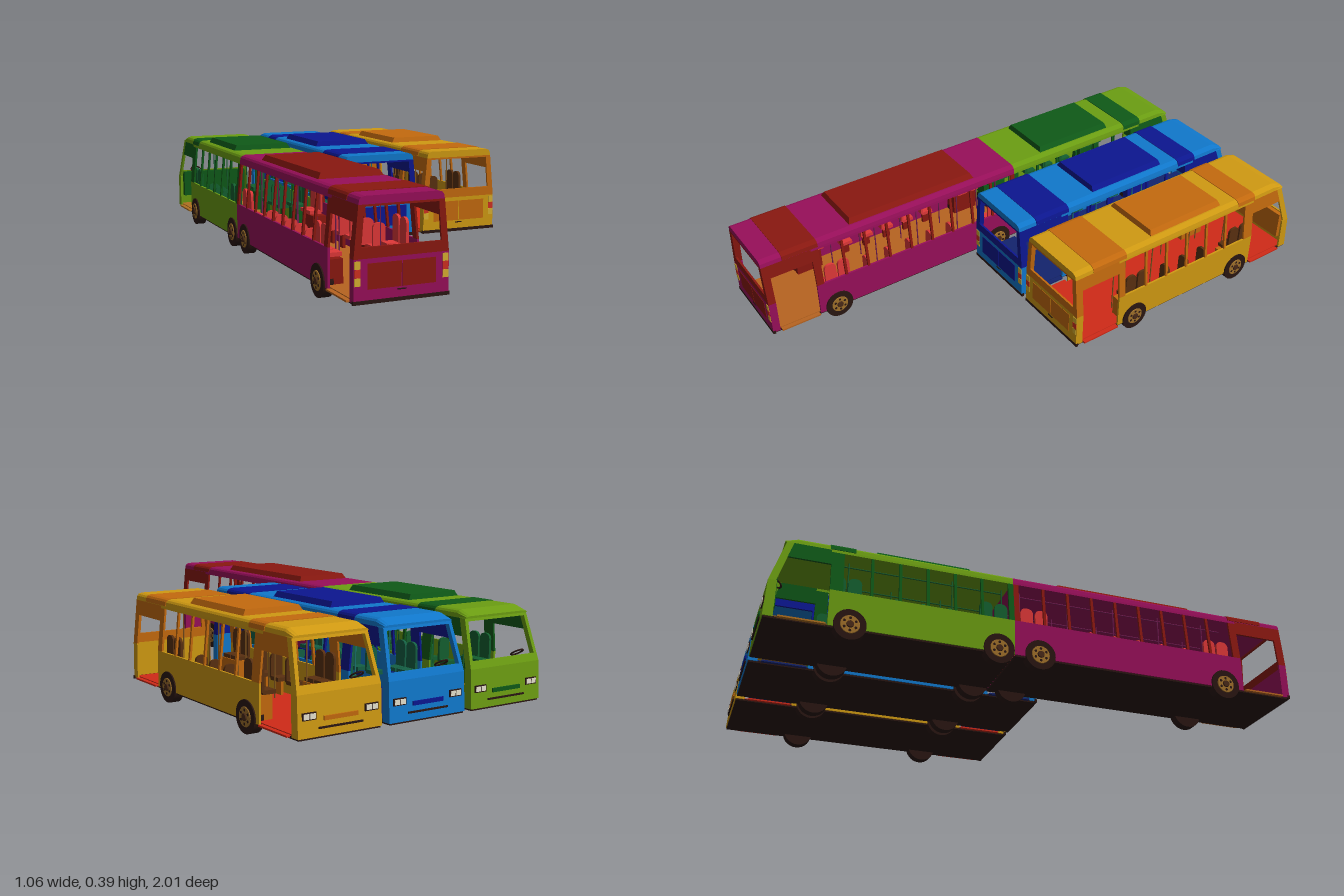
import * as THREE from 'three';

const WAIST = 0.18, EAVE = 0.345, BASE = 0.045;
// body half width and nose position at a given height
const halfWidth = y => y <= WAIST ? 0.162 : 0.162 - (y - WAIST) / (EAVE - WAIST) * 0.016;
const noseZ = y => y <= WAIST ? -1 + (y - BASE) * 0.06 : -0.992 + (y - WAIST) / (EAVE - WAIST) * 0.052;

const mats = {};
const mat = c => mats[c] ??= new THREE.MeshStandardMaterial({ color: c, side: THREE.DoubleSide });

function add(parent, name, geo, color, x = 0, y = 0, z = 0) {
  const m = new THREE.Mesh(geo, mat(color));
  m.name = name;
  m.position.set(x, y, z);
  parent.add(m);
  return m;
}
const box = (p, name, c, w, h, d, x, y, z) => add(p, name, new THREE.BoxGeometry(w, h, d), c, x, y, z);

function warp(geo, rule) {
  const a = geo.attributes.position;
  for (let i = 0; i < a.count; i++) a.setXYZ(i, ...rule(a.getX(i), a.getY(i), a.getZ(i)));
  geo.computeVertexNormals();
  return geo;
}
const shapeOf = pts => new THREE.Shape(pts.map(p => new THREE.Vector2(...p)));
const extrude = (shape, depth) => new THREE.ExtrudeGeometry(shape, { depth, bevelEnabled: false });

// side wall piece drawn in (z, y), built on both sides and leaning with the body
function sides(p, name, color, pts) {
  for (const s of [-1, 1])
    add(p, name, warp(extrude(shapeOf(pts), 0.008), (u, v, d) => [s * (halfWidth(v) - d), v, u]), color);
}
const sideRect = (p, name, c, z0, z1, y0, y1) => sides(p, name, c, [[z0, y0], [z1, y0], [z1, y1], [z0, y1]]);

// end wall piece drawn in (x, y), following zRule, optional window hole
function endWall(p, name, color, y0, y1, zRule, dir, hole) {
  const a = halfWidth(y0), b = halfWidth(y1);
  const s = shapeOf([[-a, y0], [a, y0], [b, y1], [-b, y1]]);
  if (hole) {
    const [h0, h1, wa, wb] = hole;
    s.holes.push(new THREE.Path([[-wa, h0], [-wb, h1], [wb, h1], [wa, h0]].map(q => new THREE.Vector2(...q))));
  }
  add(p, name, warp(extrude(s, 0.008), (x, y, d) => [x, y, zRule(y) + dir * d]), color);
}

// roof cross-section run along z; the front end may drop to the eave
function roof(p, name, color, z0, z1, lift = 0, drop = false) {
  const half = [[0.146, EAVE], [0.143, 0.36], [0.137, 0.367], [0.125, 0.371]].map(([x, y]) => [x + lift, y + lift]);
  const pts = [...half, ...half.map(([x, y]) => [-x, y]).reverse()];
  const geo = extrude(shapeOf(pts), z1 - z0);
  if (drop) warp(geo, (x, y, z) => [x, z < 1e-6 ? EAVE + (y - EAVE) * 0.3 : y, z]);
  add(p, name, geo, color, 0, 0, z0);
}

function roofPod(p, color, z0, z1) {
  const geo = warp(new THREE.BoxGeometry(0.244, 0.024, z1 - z0), (x, y, z) =>
    y > 0 ? [x * 0.88, y, z * 0.96] : [x, y, z]);
  add(p, 'roofPod', geo, color, 0, 0.379, (z0 + z1) / 2);
}

function wheelPair(p, z) {
  for (const s of [-1, 1]) {
    const w = new THREE.Group();
    w.name = 'wheel';
    w.position.set(s * 0.149, 0.057, z);
    w.rotation.z = -s * Math.PI / 2;
    add(w, 'tyre', new THREE.CylinderGeometry(0.057, 0.057, 0.036, 28), 0x2a1612);
    add(w, 'rim', new THREE.CylinderGeometry(0.033, 0.035, 0.004, 20), 0xa0702a, 0, 0.0185);
    add(w, 'hub', new THREE.CylinderGeometry(0.012, 0.014, 0.006, 12), 0x4a2a18, 0, 0.022);
    for (let i = 0; i < 6; i++) {
      const a = i * Math.PI / 3;
      add(w, 'rimHole', new THREE.CylinderGeometry(0.005, 0.005, 0.002, 8), 0x2a1612,
        Math.cos(a) * 0.023, 0.0205, Math.sin(a) * 0.023);
    }
    p.add(w);
  }
}

// one seat facing -z, its base at y
function seat(p, color, x, y, z, turn, backHeight) {
  const g = new THREE.Group();
  g.name = 'seat';
  g.position.set(x, y, z);
  g.rotation.y = turn;
  box(g, 'cushion', color, 0.048, 0.014, 0.048, 0, 0, 0);
  const s = new THREE.Shape();
  s.moveTo(-0.024, 0); s.lineTo(0.024, 0); s.lineTo(0.024, backHeight - 0.02);
  s.quadraticCurveTo(0.022, backHeight, 0, backHeight);
  s.quadraticCurveTo(-0.022, backHeight, -0.024, backHeight - 0.02);
  add(g, 'backrest', extrude(s, 0.01), color, 0, 0, 0.02);
  p.add(g);
}

function interior(p, o, z0, z1, wheels) {
  // inward-facing seats on the wheel boxes
  for (const wz of wheels) for (const s of [-1, 1]) {
    box(p, 'wheelBox', o.dark, 0.055, 0.085, 0.11, s * 0.125, 0.092, wz);
    for (const k of [-1, 1]) seat(p, o.seat, s * 0.117, 0.145, wz - 0.015 + k * 0.028, s * Math.PI / 2, 0.1);
  }
  // rows of seats and poles
  const free = z => wheels.every(w => Math.abs(w - z) > 0.11);
  for (let z = z0 + 0.07; z < z1 - 0.03; z += 0.096) {
    if (!free(z)) continue;
    for (const x of [-0.125, 0.125]) {
      seat(p, o.seat, x, 0.11, z, 0, 0.09);
      box(p, 'seatLeg', o.dark, 0.012, 0.055, 0.03, x, 0.077, z);
    }
  }
  for (const x of [-0.075, 0.075]) {
    const rail = add(p, 'handRail', new THREE.CylinderGeometry(0.0025, 0.0025, z1 - z0, 8), o.rail, x, 0.328, (z0 + z1) / 2);
    rail.rotation.x = Math.PI / 2;
    for (let z = z0 + 0.03; z < z1; z += 0.19)
      add(p, 'pole', new THREE.CylinderGeometry(0.0025, 0.0025, 0.295, 8), o.rail, x, 0.198, z);
  }
}

function nose(p, o) {
  endWall(p, 'frontPanel', o.light, BASE, WAIST, noseZ, 1);
  endWall(p, 'windscreenFrame', o.light, WAIST, EAVE, noseZ, 1, [0.205, 0.335, 0.146, 0.133]);
  sides(p, 'frontCorner', o.light, [[-1, BASE], [-0.965, BASE], [-0.962, WAIST], [-0.992, WAIST]]);
  sides(p, 'frontPillar', o.light, [[-0.992, WAIST], [-0.966, WAIST], [-0.915, EAVE], [-0.94, EAVE]]);
  sides(p, 'frontDoorHeader', o.dark, [[-0.935, 0.285], [-0.785, 0.285], [-0.785, EAVE], [-0.915, EAVE]]);
  roof(p, 'roofBrow', o.light, -0.945, -0.9, 0, true);
  box(p, 'dashboard', o.dark, 0.29, 0.11, 0.026, 0, 0.145, -0.972);
  const wheel = add(p, 'steeringWheel', new THREE.TorusGeometry(0.022, 0.003, 8, 24), 0x2a1612, -0.09, 0.21, -0.958);
  wheel.rotation.x = -1;
  box(p, 'grille', o.dark, 0.13, 0.014, 0.006, 0, 0.1, -0.999);
  box(p, 'lowerGrille', 0x2a1612, 0.17, 0.006, 0.006, 0, 0.072, -1);
  for (const s of [-1, 1]) {
    box(p, 'headlightSurround', 0x2a1612, 0.052, 0.024, 0.006, s * 0.12, 0.112, -0.997);
    for (const k of [-1, 1]) box(p, 'headlight', 0xe8e4d0, 0.02, 0.017, 0.008, s * (0.12 + k * 0.012), 0.112, -0.998);
  }
}

function tail(p, o, z) {
  const zr = () => z;
  endWall(p, 'rearPanel', o.light, BASE, WAIST, zr, -1);
  endWall(p, 'rearWindowFrame', o.dark, WAIST, EAVE, zr, -1, [0.215, 0.338, 0.136, 0.126]);
  for (const s of [-1, 1]) {
    box(p, 'engineHatch', o.dark, 0.114, 0.08, 0.003, s * 0.059, 0.125, z);
    [0xd8b030, 0xd03020, 0xd8b030].forEach((c, i) =>
      box(p, 'tailLight', c, 0.02, 0.025, 0.004, s * 0.15, 0.11 + i * 0.026, z));
  }
  box(p, 'hatchHandle', 0x2a1612, 0.03, 0.004, 0.004, 0, 0.077, z);
  box(p, 'rearBumper', 0x2a1612, 0.33, 0.012, 0.01, 0, 0.046, z - 0.004);
  sideRect(p, 'rearPost', o.light, z - 0.03, z, BASE, WAIST);
  sideRect(p, 'rearUpperPost', o.dark, z - 0.03, z, WAIST, EAVE);
  sideRect(p, 'rearDoorHeader', o.dark, z - 0.2, z - 0.03, 0.29, EAVE);
}

// a body section from z0 to z1, with an optional cab and an optional tail
function section(o) {
  const g = new THREE.Group();
  g.name = o.name;
  g.position.x = o.x;
  const { z0, z1, cab, rear } = o;
  const s0 = cab ? -0.785 : z0, s1 = rear ? z1 - 0.2 : z1;
  const w0 = cab ? -0.74 : z0 + 0.02, w1 = rear ? z1 - 0.23 : z1 - 0.02;

  // floor, chassis and door steps
  box(g, 'chassis', 0x2a1612, 0.316, 0.008, z1 - z0 - 0.006, 0, 0.043, (z0 + z1) / 2);
  box(g, 'floor', o.floor, 0.308, 0.004, z1 - z0 - 0.02, 0, 0.05, (z0 + z1) / 2);
  const doors = [...(cab ? [-0.872] : []), ...(rear ? [z1 - 0.115] : [])];
  for (const z of doors) box(g, 'doorStep', o.floor, 0.342, 0.006, 0.16, 0, 0.046, z);

  // sides with window posts
  sideRect(g, 'sidePanel', o.light, s0, s1, BASE, WAIST);
  sideRect(g, 'windowHeader', o.light, s0, s1, 0.336, EAVE);
  sideRect(g, 'frontWindowPillar', o.dark, s0, w0, WAIST, 0.336);
  sideRect(g, 'rearWindowPillar', o.dark, w1, s1, WAIST, 0.336);
  const n = Math.round((w1 - w0) / 0.097);
  for (let i = 1; i < n; i++) {
    const z = w0 + (w1 - w0) * i / n;
    sideRect(g, 'windowPost', o.dark, z - 0.005, z + 0.005, WAIST, 0.336);
  }

  // roof
  roof(g, 'roof', o.light, cab ? -0.9 : z0, z1);
  for (const [a, b] of o.bands) roof(g, 'roofBand', o.dark, a, b, 0.002);
  roofPod(g, o.dark, ...o.pod);

  if (cab) nose(g, o);
  if (rear) tail(g, o, z1);
  o.wheels.forEach(z => wheelPair(g, z));
  interior(g, o, w0, w1, o.wheels);
  return g;
}

export function createModel() {
  const model = new THREE.Group();
  model.name = 'busFleet';
  const single = { z0: -1, z1: 0.1, cab: true, rear: true, wheels: [-0.71, -0.18],
    bands: [[-0.79, -0.7], [-0.135, 0.02]], pod: [-0.625, -0.27] };
  model.add(
    section({ ...single, name: 'yellowBus', x: 0.355, light: 0xd09a12, dark: 0xc46a0e, floor: 0xd02a18, seat: 0x5a3010, rail: 0x8a5a20 }),
    section({ ...single, name: 'blueBus', x: 0, light: 0x1078cc, dark: 0x0c1690, floor: 0x14246e, seat: 0x146044, rail: 0x208080 }),
    section({ ...single, name: 'articulatedFront', x: -0.355, z1: -0.12, rear: false, bands: [[-0.79, -0.7]],
      light: 0x6c9e12, dark: 0x0f5a18, floor: 0xb07020, seat: 0x146030, rail: 0x186030 }),
    section({ name: 'articulatedRear', x: -0.355, z0: -0.12, z1: 1, cab: false, rear: true, wheels: [-0.025, 0.72],
      bands: [[0.77, 0.915]], pod: [0.06, 0.625],
      light: 0x980f5a, dark: 0x8a1810, floor: 0xb86420, seat: 0xe03838, rail: 0x7a2058 }));
  return model;
}
